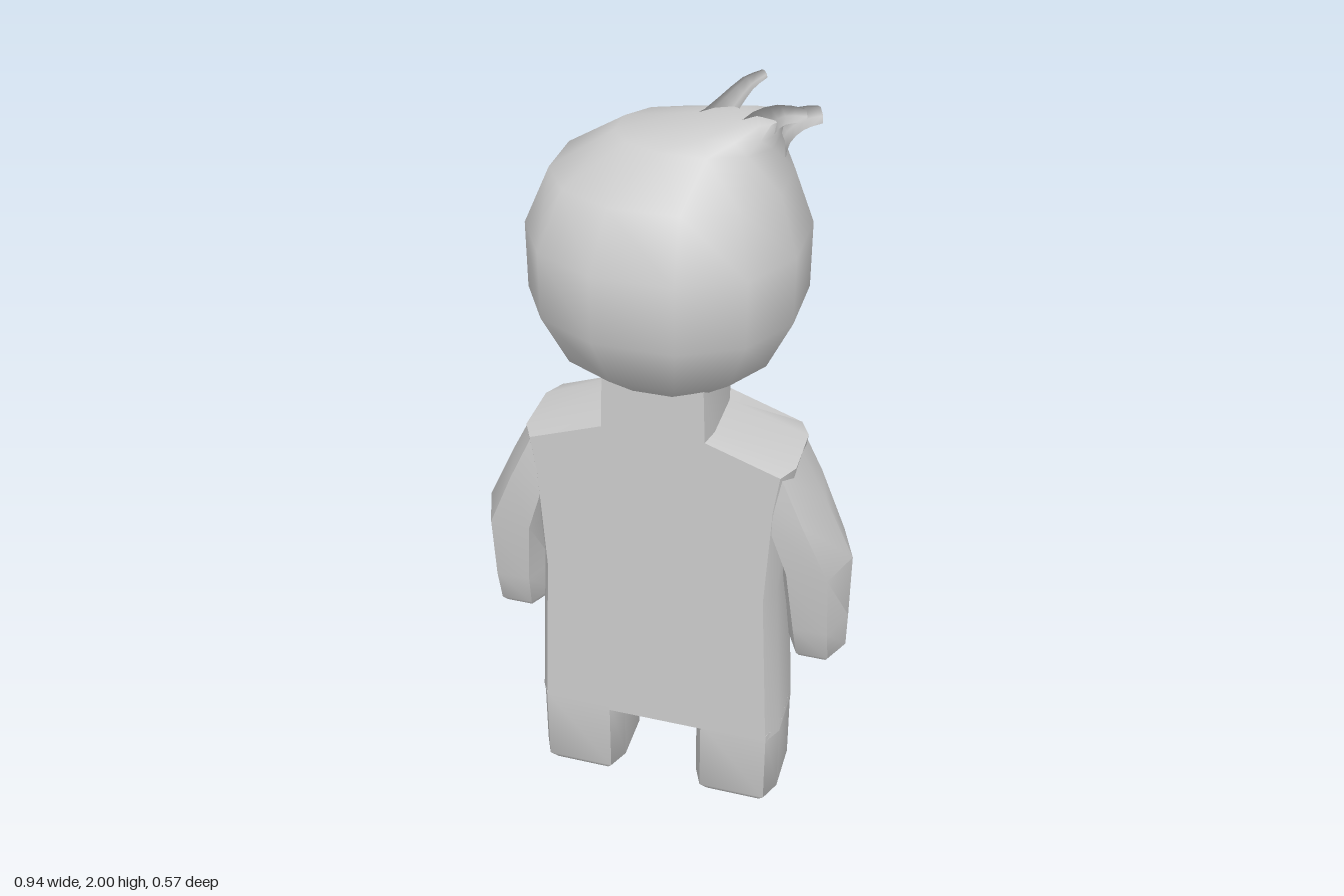
import * as THREE from 'three';
import { toCreasedNormals } from 'three/addons/utils/BufferGeometryUtils.js';

const material = new THREE.MeshStandardMaterial({ color: 0xcccccc });

// Skin a stack of rings (lists of [x, y, z], running from +x towards -z, bottom to top) and cap both ends.
function loft(name, rings, crease = 0.75) {
  const n = rings[0].length, pos = rings.flat(2), idx = [];
  for (let i = 0; i < rings.length - 1; i++) {
    for (let j = 0; j < n; j++) {
      const a = i * n + j, b = i * n + (j + 1) % n;
      idx.push(a, b, a + n, b, b + n, a + n);
    }
  }
  [rings[0], rings[rings.length - 1]].forEach((ring, end) => {
    const c = pos.length / 3, start = end ? (rings.length - 1) * n : 0;
    for (let k = 0; k < 3; k++) pos.push(ring.reduce((s, p) => s + p[k], 0) / n);
    for (let j = 0; j < n; j++) {
      const a = start + j, b = start + (j + 1) % n;
      if (end) idx.push(c, a, b); else idx.push(c, b, a);
    }
  });
  const geo = new THREE.BufferGeometry();
  geo.setAttribute('position', new THREE.Float32BufferAttribute(pos, 3));
  geo.setIndex(idx);
  const mesh = new THREE.Mesh(toCreasedNormals(geo, crease), material);
  mesh.name = name;
  return mesh;
}

// Fit a unit outline into the box x0..x1, z0..z1 at height y.
const fit = (outline, y, x0, x1, z0, z1) => outline.map(([u, v]) =>
  [(x0 + x1) / 2 + u * (x1 - x0) / 2, y, (z0 + z1) / 2 + v * (z1 - z0) / 2]);

const HEX = [[1, 0], [0.55, -1], [-0.55, -1], [-1, 0], [-0.55, 1], [0.55, 1]];
const OCT = [[1, -0.55], [0.78, -1], [-0.78, -1], [-1, -0.55], [-1, 0.55], [-0.78, 1], [0.78, 1], [1, 0.55]];
// Twelve-sided, slightly squared circle with flats facing the front and back
const ROUND = Array.from({ length: 12 }, (_, i) => {
  const a = (i / 12) * Math.PI * 2 + Math.PI / 12;
  const f = (t) => Math.sign(t) * Math.pow(Math.abs(t), 0.9);
  return [f(Math.cos(a)) * 1.03, -f(Math.sin(a)) * 1.03];
});

// Torso slice: flat front, gently domed back
const torsoRing = ([y, w, back]) => [
  [w, y, -0.05], [0.92 * w, y, -0.1], [0.4 * w, y, back], [-0.4 * w, y, back], [-0.92 * w, y, -0.1],
  [-w, y, -0.05], [-w, y, 0.09], [-0.92 * w, y, 0.14], [0.92 * w, y, 0.14], [w, y, 0.09],
];

// Tapering hair strand along a curve
function strand(name, points, r0, r1) {
  const curve = new THREE.CatmullRomCurve3(points.map((p) => new THREE.Vector3(...p)));
  const side = new THREE.Vector3(0, 0, -1), rings = [];
  for (let i = 0; i <= 6; i++) {
    const t = i / 6, p = curve.getPoint(t), r = r0 + (r1 - r0) * Math.sqrt(t);
    const across = new THREE.Vector3().crossVectors(side, curve.getTangent(t)).normalize().negate();
    rings.push(Array.from({ length: 6 }, (_, j) => {
      const a = (j / 6) * Math.PI * 2;
      return p.clone().addScaledVector(across, -r * Math.cos(a)).addScaledVector(side, -r * Math.sin(a)).toArray();
    }));
  }
  return loft(name, rings, 1.2);
}

export function createModel() {
  const model = new THREE.Group();
  model.name = 'figure';

  // Torso running up through the shoulders into the neck
  model.add(loft('torso', [
    [0.25, 0.325, -0.1], [0.72, 0.3, -0.15], [1.0, 0.315, -0.15],
    [1.1, 0.33, -0.15], [1.165, 0.135, -0.1], [1.31, 0.13, -0.1],
  ].map(torsoRing)));

  // Arms and legs, mirrored by swapping the x limits
  for (const s of [1, -1]) {
    const side = s > 0 ? 'left' : 'right';
    const limb = (outline, [y, inner, outer, z0, z1]) =>
      fit(outline, y, Math.min(s * inner, s * outer), Math.max(s * inner, s * outer), z0, z1);
    model.add(loft(side + 'Arm', [
      [0.5, 0.33, 0.455, -0.05, 0.06], [0.52, 0.32, 0.467, -0.06, 0.075], [0.62, 0.31, 0.468, -0.078, 0.1],
      [0.81, 0.285, 0.468, -0.09, 0.125], [0.97, 0.24, 0.395, -0.098, 0.139], [1.1, 0.2, 0.33, -0.09, 0.13],
    ].map((r) => limb(HEX, r))));
    model.add(loft(side + 'Leg', [
      [0, 0.135, 0.29, -0.065, 0.105], [0.01, 0.12, 0.305, -0.08, 0.12],
      [0.04, 0.1, 0.325, -0.1, 0.14], [0.27, 0.1, 0.324, -0.1, 0.14],
    ].map((r) => limb(OCT, r))));
  }

  // Head, with the crown drawn up towards one side
  model.add(loft('head', [
    [1.26, -0.13, 0.13, -0.1, 0.12], [1.35, -0.245, 0.245, -0.225, 0.225], [1.48, -0.305, 0.305, -0.285, 0.285],
    [1.64, -0.305, 0.305, -0.285, 0.285], [1.77, -0.25, 0.262, -0.22, 0.22], [1.86, -0.11, 0.235, -0.125, 0.125],
    [1.885, 0.02, 0.24, -0.09, 0.09], [1.91, 0.14, 0.24, -0.05, 0.05],
  ].map((r) => fit(ROUND, ...r)), 1.1));

  // Hair tuft
  const tuft = new THREE.Group();
  tuft.name = 'hairTuft';
  tuft.add(
    strand('upperStrand', [[0.07, 1.85, -0.02], [0.12, 1.915, -0.025], [0.16, 1.965, -0.03], [0.195, 1.99, -0.03]], 0.045, 0.01),
    strand('frontStrand', [[0.17, 1.85, 0.02], [0.21, 1.91, 0.035], [0.25, 1.94, 0.05], [0.302, 1.95, 0.063]], 0.055, 0.015),
    strand('backStrand', [[0.2, 1.82, -0.02], [0.23, 1.87, -0.025], [0.27, 1.9, -0.03], [0.315, 1.915, -0.03]], 0.055, 0.02),
  );
  model.add(tuft);
  return model;
}
